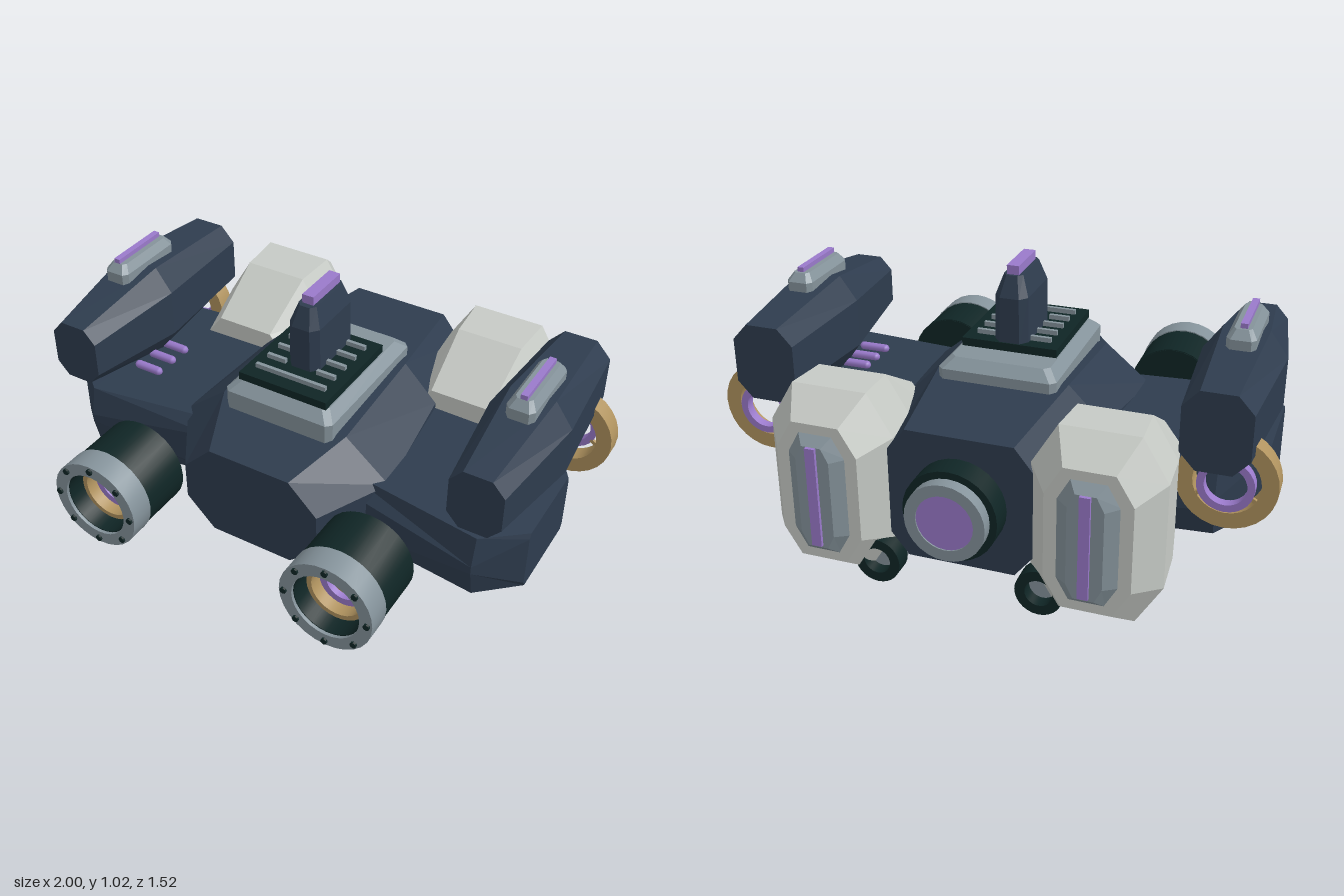
import * as THREE from 'three';
import { toCreasedNormals } from 'three/addons/utils/BufferGeometryUtils.js';

const mat = (name, color) => {
  const m = new THREE.MeshStandardMaterial({ color });
  m.name = name;
  return m;
};

// Lofts chamfered rectangles [z, cx, cy, halfWidth, halfHeight, chamferX, chamferY] given in ascending z
function loft(sections) {
  const rings = sections.map(([z, cx, cy, w, h, a, b]) => [
    [w, b - h], [w, h - b], [w - a, h], [a - w, h], [-w, h - b], [-w, b - h], [a - w, -h], [w - a, -h],
  ].map(([x, y]) => [cx + x, cy + y, z]));
  const pos = [];
  const tri = (...p) => p.forEach((v) => pos.push(...v));
  for (let k = 0; k < rings.length - 1; k++) {
    const A = rings[k], B = rings[k + 1];
    for (let i = 0; i < 8; i++) {
      const j = (i + 1) % 8;
      tri(A[i], A[j], B[j]);
      tri(A[i], B[j], B[i]);
    }
  }
  const first = rings[0], last = rings[rings.length - 1];
  for (let i = 1; i < 7; i++) {
    tri(first[0], first[i + 1], first[i]);
    tri(last[0], last[i], last[i + 1]);
  }
  const g = new THREE.BufferGeometry();
  g.setAttribute('position', new THREE.Float32BufferAttribute(pos, 3));
  g.computeVertexNormals();
  return g;
}

// Ring or disc around the z axis, from z0 to z1
function ring(rOut, rIn, z0, z1, segments = 28) {
  const pts = [[rIn, z0], [rOut, z0], [rOut, z1], [rIn, z1]];
  if (rIn > 0) pts.push([rIn, z0]);
  const g = new THREE.LatheGeometry(pts.map((p) => new THREE.Vector2(...p)), segments);
  g.rotateX(Math.PI / 2);
  return toCreasedNormals(g, 0.6);
}

export function createModel() {
  const navy = mat('navy armour', 0x2e3c4e);
  const dark = mat('dark green metal', 0x0f2525);
  const white = mat('pale armour', 0xc6cac5);
  const grey = mat('grey metal', 0x84929a);
  const tan = mat('bronze', 0xb0935f);
  const purple = mat('purple glow', 0x9a7acb);

  const model = new THREE.Group();
  const add = (name, geometry, material, x = 0, y = 0, z = 0) => {
    const m = new THREE.Mesh(geometry, material);
    m.name = name;
    m.position.set(x, y, z);
    model.add(m);
    return m;
  };
  const box = (name, material, w, h, d, x, y, z) =>
    add(name, new THREE.BoxGeometry(w, h, d), material, x, y, z);

  // Central hull
  add('hull', loft([
    [-0.62, 0, 0.37, 0.27, 0.24, 0.08, 0.1],
    [-0.2, 0, 0.375, 0.37, 0.275, 0.13, 0.13],
    [0.25, 0, 0.37, 0.42, 0.255, 0.17, 0.14],
    [0.48, 0, 0.37, 0.27, 0.18, 0.11, 0.11],
  ]), navy);

  // Deck plate: flat bevelled block lofted upward
  const deck = loft([
    [0.6, 0, -0.01, 0.215, 0.29, 0.02, 0.02],
    [0.68, 0, -0.01, 0.215, 0.29, 0.02, 0.02],
    [0.715, 0, -0.01, 0.18, 0.25, 0.02, 0.02],
  ]).rotateX(-Math.PI / 2);
  add('deckPlate', deck, grey);
  box('ventBed', dark, 0.35, 0.03, 0.4, 0, 0.73, 0.06);
  for (let i = 0; i < 5; i++) {
    const z = -0.08 + i * 0.07;
    if (i === 4) box('ventSlat', grey, 0.28, 0.02, 0.014, 0, 0.752, z);
    else for (const s of [-1, 1]) box('ventSlat', grey, 0.075, 0.02, 0.014, s * 0.1, 0.752, z);
  }

  // Dorsal fin
  add('fin', loft([
    [0.73, 0, 0, 0.062, 0.135, 0.025, 0.03],
    [0.91, 0, 0, 0.06, 0.135, 0.025, 0.03],
    [0.985, 0, 0, 0.035, 0.105, 0.015, 0.02],
  ]).rotateX(-Math.PI / 2), navy);
  box('finLight', purple, 0.044, 0.04, 0.18, 0, 0.998, -0.005);

  // Central rear thruster
  add('rearThruster', ring(0.165, 0, -0.71, -0.58), dark, 0, 0.37);
  add('rearThrusterRim', ring(0.14, 0.1, -0.755, -0.7), grey, 0, 0.37);
  add('rearThrusterLight', ring(0.102, 0, -0.75, -0.7), purple, 0, 0.37);

  for (const s of [-1, 1]) {
    // Side wing, lofted outward along x
    add('wing', loft([
      [0.25, -s * -0.04, 0.365, 0.35, 0.135, 0.04, 0.05],
      [0.79, -s * 0.01, 0.365, 0.355, 0.125, 0.025, 0.11],
      [0.93, -s * 0.06, 0.365, 0.17, 0.12, 0.01, 0.02],
    ]).rotateY(s * Math.PI / 2), navy);
    for (const z of [-0.01, 0.07, 0.155]) {
      const bar = add('wingLight', new THREE.CapsuleGeometry(0.016, 0.09, 3, 8), purple, s * 0.67, 0.515, z);
      bar.rotation.z = Math.PI / 2;
    }

    // Upper pod with light rail
    add('upperPod', loft([
      [-0.45, s * 0.795, 0.68, 0.115, 0.14, 0.055, 0.06],
      [0, s * 0.8, 0.68, 0.145, 0.18, 0.065, 0.09],
      [0.4, s * 0.795, 0.685, 0.095, 0.115, 0.045, 0.05],
    ]), navy);
    add('podRail', loft([
      [0.82, s * 0.805, 0.015, 0.05, 0.15, 0.015, 0.02],
      [0.88, s * 0.805, 0.015, 0.05, 0.15, 0.015, 0.02],
      [0.91, s * 0.805, 0.015, 0.03, 0.125, 0.01, 0.015],
    ]).rotateX(-Math.PI / 2), grey);
    box('podLight', purple, 0.024, 0.03, 0.24, s * 0.808, 0.912, -0.01);

    // Front cannon
    const cx = s * 0.465, cy = 0.37;
    add('cannonBarrel', ring(0.168, 0.122, 0.465, 0.74), dark, cx, cy);
    add('cannonBack', ring(0.165, 0, 0.462, 0.58), dark, cx, cy);
    add('cannonRim', ring(0.172, 0.125, 0.66, 0.752), grey, cx, cy);
    add('cannonBronzeRing', ring(0.112, 0.094, 0.57, 0.68), tan, cx, cy);
    add('cannonLightRing', ring(0.086, 0.06, 0.57, 0.64), purple, cx, cy);
    add('cannonInnerRing', ring(0.056, 0.048, 0.57, 0.62), tan, cx, cy);
    add('cannonCore', ring(0.038, 0, 0.57, 0.63), purple, cx, cy);
    for (let i = 0; i < 8; i++) {
      const a = (i * Math.PI) / 4;
      add('rimBolt', ring(0.012, 0, 0.74, 0.76, 8), dark, cx + Math.cos(a) * 0.153, cy + Math.sin(a) * 0.153);
    }

    // Side ring
    add('sideRing', ring(0.168, 0.112, -0.397, -0.327), tan, s * 0.832, 0.485);
    add('sideRingLight', ring(0.095, 0.07, -0.42, -0.385), purple, s * 0.832, 0.485);
    for (const a of [0, 1, 2]) {
      const t = (a * 2 * Math.PI) / 3 + Math.PI / 2;
      const strut = box('ringStrut', tan, 0.03, 0.014, 0.012, s * 0.832 + Math.cos(t) * 0.103, 0.485 + Math.sin(t) * 0.103, -0.39);
      strut.rotation.z = t;
    }

    // Rear armoured booster with inset panel and light strip
    const bx = s * 0.465;
    add('booster', loft([
      [-0.715, bx, 0.37, 0.145, 0.255, 0.06, 0.1],
      [-0.6, bx, 0.37, 0.225, 0.34, 0.09, 0.15],
      [-0.43, bx, 0.37, 0.215, 0.333, 0.09, 0.15],
      [-0.2, bx, 0.37, 0.175, 0.2, 0.06, 0.08],
    ]), white);
    add('boosterPanel', loft([
      [-0.748, bx, 0.37, 0.06, 0.19, 0.025, 0.05],
      [-0.71, bx, 0.37, 0.108, 0.225, 0.045, 0.08],
    ]), grey);
    box('boosterLight', purple, 0.036, 0.37, 0.02, bx, 0.375, -0.75);

    // Underside skid and lower thruster
    add('skid', loft([
      [-0.52, s * 0.455, 0.058, 0.125, 0.03, 0.02, 0.015],
      [-0.2, s * 0.455, 0.058, 0.125, 0.03, 0.02, 0.015],
    ]), grey);
    add('lowerThruster', ring(0.105, 0, -0.44, -0.195), navy, s * 0.29, 0.105);
    add('lowerThrusterTube', ring(0.07, 0, -0.62, -0.43), grey, s * 0.29, 0.11);
    add('lowerNozzle', ring(0.083, 0.048, -0.668, -0.6), dark, s * 0.29, 0.112);
  }
  return model;
}
